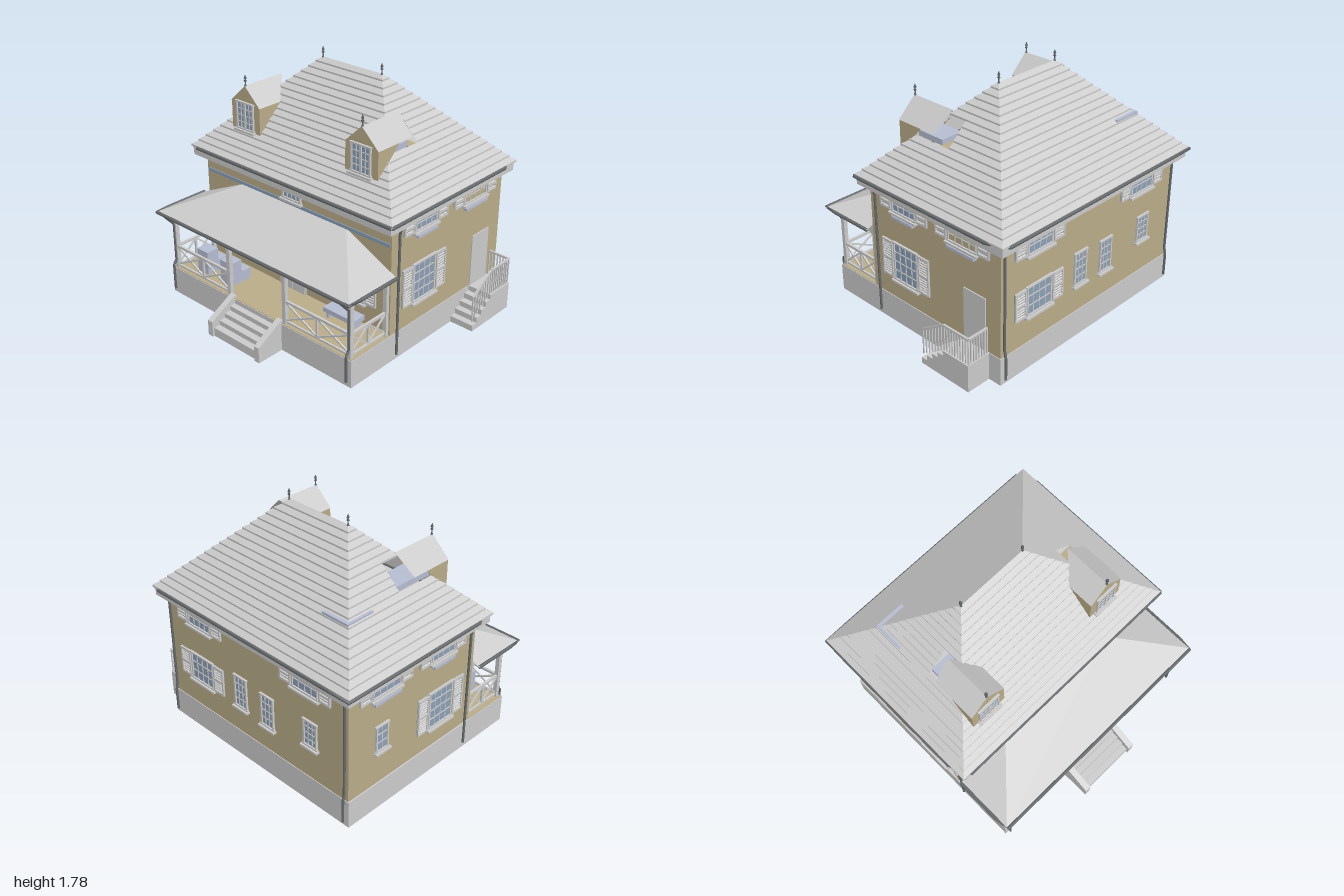
import * as THREE from 'three';

const mat = (color) => new THREE.MeshStandardMaterial({ color, side: THREE.DoubleSide });
const GREY = mat(0xcccccc), TAN = mat(0xb9ac88), GLASS = mat(0x8ba0b8), BLUE = mat(0xb6bdd2), DARK = mat(0x666a6c), SLAT = mat(0xa4a4a2);
const V = (x, y, z) => new THREE.Vector3(x, y, z);

function add(parent, name, geo, m = GREY) {
  const mesh = new THREE.Mesh(geo, m);
  mesh.name = name;
  parent.add(mesh);
  return mesh;
}
function box(p, name, x0, x1, y0, y1, z0, z1, m) {
  const b = add(p, name, new THREE.BoxGeometry(x1 - x0, y1 - y0, z1 - z0), m);
  b.position.set((x0 + x1) / 2, (y0 + y1) / 2, (z0 + z1) / 2);
  return b;
}
// Square bar between two points
function bar(p, name, a, b, t, m) {
  const s = add(p, name, new THREE.BoxGeometry(t, t, a.distanceTo(b)), m);
  s.position.copy(a).lerp(b, 0.5);
  s.lookAt(b);
  return s;
}
// Round pipe through points
function pipe(p, name, pts, r = 0.009) {
  const path = new THREE.CurvePath();
  for (let i = 1; i < pts.length; i++) path.add(new THREE.LineCurve3(pts[i - 1], pts[i]));
  return add(p, name, new THREE.TubeGeometry(path, (pts.length - 1) * 8, r, 8), DARK);
}
function quads(p, name, list, m) {
  const pos = [];
  for (const [a, b, c, d] of list) for (const v of [a, b, c, a, c, d]) pos.push(v.x, v.y, v.z);
  const g = new THREE.BufferGeometry();
  g.setAttribute('position', new THREE.Float32BufferAttribute(pos, 3));
  g.computeVertexNormals();
  return add(p, name, g, m);
}
function extrude(p, name, pts, depth, m) {
  const s = new THREE.Shape(pts.map(([x, y]) => new THREE.Vector2(x, y)));
  return add(p, name, new THREE.ExtrudeGeometry(s, { depth, bevelEnabled: false }), m);
}
// Framed window with glazing bars, sill and optional louvred shutters; local z points out of the wall
function windowUnit(w, h, cols, rows, shutter = 0, pane = GLASS) {
  const g = new THREE.Group();
  g.name = 'window';
  const X = w / 2, Y = h / 2, f = 0.012;
  box(g, 'pane', -X, X, -Y, Y, 0, 0.005, pane);
  for (const s of [-1, 1]) {
    box(g, 'frameSide', s * X - f / 2, s * X + f / 2, -Y, Y, 0, 0.014);
    box(g, 'frameRail', -X - f, X + f, s * Y - f / 2, s * Y + f / 2, 0, 0.016);
    if (!shutter) continue;
    const c = s * (X + shutter / 2 + 0.014), k = shutter / 2;
    box(g, 'shutter', c - k, c + k, -Y, Y, 0, 0.006, SLAT);
    for (const e of [-1, 1]) box(g, 'shutterStile', c + e * (k - 0.006) - 0.006, c + e * (k - 0.006) + 0.006, -Y, Y, 0, 0.016);
    for (const y of [-Y + 0.008, 0, Y - 0.008]) box(g, 'shutterRail', c - k, c + k, y - 0.008, y + 0.008, 0, 0.016);
    const n = Math.round(h / 0.019);
    for (let i = 1; i < n; i++) {
      const y = -Y + (i * h) / n;
      box(g, 'louvre', c - k + 0.01, c + k - 0.01, y - 0.002, y + 0.002, 0.002, 0.014).rotation.x = 0.6;
    }
  }
  for (let i = 1; i < cols; i++) box(g, 'glazingBar', -X + (i * w) / cols - 0.003, -X + (i * w) / cols + 0.003, -Y, Y, 0, 0.01);
  for (let i = 1; i < rows; i++) box(g, 'glazingBar', -X, X, -Y + (i * h) / rows - 0.003, -Y + (i * h) / rows + 0.003, 0, 0.01);
  box(g, 'sill', -X - 0.02, X + 0.02, -Y - 0.02, -Y - 0.005, 0, 0.03);
  return g;
}

export function createModel() {
  const root = new THREE.Group();
  root.name = 'house';
  const place = (g, x, y, z, ry = 0) => { g.position.set(x, y, z); g.rotation.y = ry; root.add(g); };
  const B = (...a) => box(root, ...a);

  // Plinth, walls and cornice
  B('plinth', -0.925, 0.815, 0, 0.203, -0.845, 0.72);
  B('porchFloor', -0.92, 0.81, 0.2, 0.207, 0.34, 0.715, TAN);
  B('walls', -0.915, 0.81, 0.2, 1.0, -0.84, 0.345, TAN);
  B('cornice', -0.97, 0.86, 0.985, 1.04, -0.9, 0.42);
  B('flashing', -0.9, 0.8, 0.855, 0.88, 0.34, 0.352, GLASS);

  // Main hip roof in overlapping courses, open behind the dormers
  const ring = (t, lift) => {
    const ex = 0.93 - 0.665 * t, ez = 0.67 * (1 - t), y = 1.05 + 0.65 * t + lift;
    return [[1, 1], [1, -1], [-1, -1], [-1, 1]].map(([a, b]) => V(-0.057 + a * ex, y, -0.243 + b * ez));
  };
  const N = 18, roof = [];
  for (let k = 0; k < N; k++) {
    const rings = [ring(k / N, -0.002), ring(k / N, 0.012), ring((k + 1) / N, 0)];
    const mid = 1.05 + (0.65 * (k + 0.5)) / N;
    for (let i = 0; i < 4; i++) for (let j = 0; j < 2; j++) {
      const j2 = (i + 1) % 4;
      const q = [rings[j][i], rings[j][j2], rings[j + 1][j2], rings[j + 1][i]].map((v) => v.clone());
      if (mid > 1.33 && mid < 1.5) {
        if (i === 0) q[0].z = q[3].z = -0.17;
        if (i === 2) q[1].z = q[2].z = -0.17;
      }
      roof.push(q);
    }
  }
  quads(root, 'mainRoof', roof);
  const rim = ring(0, -0.005);
  pipe(root, 'roofGutter', [...rim, rim[0]], 0.013);
  B('eaveBoard', -0.98, 0.865, 1.036, 1.046, -0.908, 0.422);

  // Finials
  const finial = (x, y, z) => {
    const pts = [[0.009, 0], [0.004, 0.015], [0.004, 0.03], [0.011, 0.037], [0.004, 0.045], [0.01, 0.055], [0, 0.082]];
    add(root, 'finial', new THREE.LatheGeometry(pts.map((q) => new THREE.Vector2(...q)), 10), DARK).position.set(x, y, z);
  };
  finial(-0.322, 1.695, -0.243);
  finial(0.208, 1.695, -0.243);

  // Dormers: s is the outer side
  for (const [c, s] of [[-0.587, -1], [0.473, 1]]) {
    const w = 0.137;
    extrude(root, 'dormerFront', [[c - w, 1.21], [c + w, 1.21], [c + w, 1.42], [c, 1.55], [c - w, 1.42]], 0.012, TAN).position.z = 0.243;
    for (const e of [-1, 1]) {
      const x = c + e * w, zb = e === s ? -0.07 : 0.055;
      quads(root, 'dormerCheek', [[V(x, 1.21, 0.25), V(x, 1.21, 0.25), V(x, 1.42, 0.05), V(x, 1.42, 0.25)]], TAN);
      quads(root, 'dormerRoof', [[V(c, 1.552, 0.256), V(x + e * 0.003, 1.418, 0.256), V(x + e * 0.003, 1.418, zb), V(c, 1.552, -0.1)]]);
    }
    const win = windowUnit(0.155, 0.195, 4, 4);
    box(win, 'centreStile', -0.008, 0.008, -0.097, 0.097, 0, 0.014);
    place(win, c, 1.332, 0.255);
    finial(c, 1.55, 0.248);
    B('atticBox', c - 0.06 - 0.025, c + 0.085, 1.33, 1.37, s < 0 ? -0.17 : -0.09, 0.13, BLUE);
  }
  B('atticFloor', 0.41, 0.58, 1.325, 1.335, -0.17, -0.09, TAN);
  B('atticBench', -0.72, -0.5, 1.29, 1.332, -0.65, -0.61, BLUE);
  B('atticBench', -0.72, -0.685, 1.29, 1.332, -0.65, -0.43, BLUE);

  // Porch roof
  const [pa, pb, pc, pd] = [V(-0.97, 0.66, 0.795), V(0.86, 0.66, 0.795), V(0.43, 0.86, 0.346), V(-0.54, 0.86, 0.346)];
  const [pe, pf] = [V(0.86, 0.66, 0.346), V(-0.97, 0.66, 0.346)];
  quads(root, 'porchRoof', [[pa, pb, pc, pd], [pb, pe, pc, pc], [pf, pa, pd, pd]]);
  pipe(root, 'porchGutter', [pf, pa, pb, pe], 0.012);

  // Porch posts, beams, railings and scalloped valance
  const L = -0.885, R = 0.785, F = 0.695, posts = [L, -0.325, 0.21, R];
  for (const x of posts) B('porchPost', x - 0.015, x + 0.015, 0.2, 0.67, F - 0.015, F + 0.015);
  for (const x of [L, R]) B('wallPost', x - 0.015, x + 0.015, 0.2, 0.67, 0.345, 0.37);
  const railing = (a, b, n) => {
    const at = (t, y) => a.clone().lerp(b, t).setY(y);
    bar(root, 'topRail', at(0, 0.38), at(1, 0.38), 0.018);
    bar(root, 'bottomRail', at(0, 0.225), at(1, 0.225), 0.014);
    for (let i = 0; i < n; i++) {
      bar(root, 'crossBrace', at(i / n, 0.23), at((i + 1) / n, 0.375), 0.011);
      bar(root, 'crossBrace', at(i / n, 0.375), at((i + 1) / n, 0.23), 0.011);
      if (i) bar(root, 'railPost', at(i / n, 0.22), at(i / n, 0.38), 0.014);
    }
  };
  const valance = (a, b) => {
    bar(root, 'porchBeam', a.clone().setY(0.65), b.clone().setY(0.65), 0.025);
    const len = a.distanceTo(b), n = Math.round(len / 0.055), pts = [[0, 0.65], [0, 0.575]];
    for (let i = 0; i < n; i++) for (let j = 1; j <= 6; j++) {
      const end = (i === 0 && j < 3) || (i === n - 1 && j > 3) ? 0.015 : 0;
      pts.push([((i + j / 6) * len) / n, 0.608 - 0.022 * Math.sin((Math.PI * j) / 6) - end]);
    }
    pts.push([len, 0.65]);
    const m = extrude(root, 'valance', pts, 0.008);
    m.position.set(a.x, 0, a.z);
    m.rotation.y = Math.atan2(a.z - b.z, b.x - a.x);
  };
  for (let i = 0; i < 3; i++) {
    const a = V(posts[i], 0, F), b = V(posts[i + 1], 0, F);
    valance(a, b);
    if (i !== 1) railing(a, b, 2);
  }
  for (const x of [L, R]) {
    railing(V(x, 0, F), V(x, 0, 0.36), 2);
    valance(V(x, 0, F), V(x, 0, 0.36));
  }

  // Porch furniture
  for (const x of [-0.69, -0.445]) {
    B('chairSeat', x - 0.055, x + 0.055, 0.207, 0.29, 0.45, 0.63, BLUE);
    B('chairBack', x - 0.055, x + 0.055, 0.207, 0.385, 0.53, 0.63, BLUE);
  }
  B('benchTop', 0.34, 0.61, 0.25, 0.285, 0.36, 0.47, BLUE);
  for (const x of [0.36, 0.57]) B('benchLeg', x, x + 0.02, 0.205, 0.25, 0.37, 0.46, BLUE);

  // Front steps with sloped cheek walls
  for (let i = 0; i < 4; i++) B('frontStep', -0.265, 0.155, 0, 0.17 - i * 0.035, 0.71, 0.765 + i * 0.05);
  for (const x of [-0.305, 0.15]) {
    const m = extrude(root, 'stepCheek', [[0, 0], [0.225, 0], [0.225, 0.115], [0.015, 0.23], [0, 0.23]], 0.045);
    m.rotation.y = -Math.PI / 2;
    m.position.set(x + 0.045, 0, 0.705);
  }

  // Side landing, steps and balustrade
  B('sideLanding', 0.81, 1.0, 0, 0.203, -0.745, -0.52);
  for (let i = 0; i < 4; i++) B('sideStep', 0.81, 1.0, 0, 0.165 - i * 0.04, -0.53, -0.47 + i * 0.05);
  const rails = [[V(0.825, 0.395, -0.738), V(0.988, 0.395, -0.738), 7, 0], [V(0.988, 0.395, -0.738), V(0.988, 0.395, -0.525), 9, 0], [V(0.988, 0.395, -0.525), V(0.988, 0.265, -0.328), 7, 0]];
  for (const [a, b, n] of rails) {
    bar(root, 'handRail', a, b, 0.014);
    for (let i = 0; i <= n; i++) {
      const q = a.clone().lerp(b, i / n);
      bar(root, 'baluster', q, q.clone().setY(q.y - 0.19), 0.008);
    }
  }

  // Doors
  B('doorFrame', -0.185, 0.07, 0.205, 0.61, 0.34, 0.352);
  for (const x of [-0.175, -0.055]) B('doorLeaf', x, x + 0.115, 0.207, 0.6, 0.35, 0.36);
  for (const x of [-0.075, -0.045]) B('doorHandle', x, x + 0.02, 0.39, 0.397, 0.36, 0.37, DARK);
  B('porchLamp', -0.07, -0.045, 0.6, 0.64, 0.68, 0.71, DARK);
  B('sideDoor', 0.805, 0.818, 0.203, 0.595, -0.715, -0.525);

  // Windows on all four walls
  const H = Math.PI / 2;
  place(windowUnit(0.215, 0.23, 4, 4, 0.09), -0.58, 0.485, 0.346);
  place(windowUnit(0.225, 0.23, 4, 4, 0.09), 0.48, 0.485, 0.346);
  place(windowUnit(0.16, 0.085, 4, 2), -0.057, 0.945, 0.346);
  for (const [x, ry] of [[0.811, H], [-0.916, -H]]) {
    place(windowUnit(0.215, 0.1, 4, 2, 0.1), x, 0.937, 0.012, ry);
    place(windowUnit(0.24, 0.1, 4, 2, 0.1, x > 0 ? TAN : GLASS), x, 0.937, -0.52, ry);
    const s = Math.sign(x);
    for (const [z, k] of [[0.012, 0.1], [-0.52, 0.12]]) B('flowerBox', Math.min(x, x + s * 0.03), Math.max(x, x + s * 0.03), 0.84, 0.86, z - k, z + k, BLUE);
  }
  place(windowUnit(0.22, 0.28, 4, 4, 0.1), 0.811, 0.505, 0.012, H);
  place(windowUnit(0.22, 0.28, 4, 4, 0.1), -0.916, 0.505, 0.012, -H);
  place(windowUnit(0.1, 0.19, 2, 3), -0.916, 0.56, -0.55, -H);
  place(windowUnit(0.22, 0.21, 4, 3, 0.1), 0.47, 0.52, -0.841, 2 * H);
  for (const x of [0.47, -0.55]) place(windowUnit(0.22, 0.12, 4, 2, 0.1), x, 0.92, -0.841, 2 * H);
  for (const [x, y, h] of [[0.07, 0.54, 0.24], [-0.19, 0.52, 0.24], [-0.59, 0.56, 0.19]]) place(windowUnit(0.11, h, 3, 4), x, y, -0.841, 2 * H);

  // Downspouts from the main and porch gutters
  for (const [x, s] of [[-0.925, -1], [0.82, 1]]) {
    pipe(root, 'downspout', [V(x + s * 0.045, 1.045, 0.285), V(x + s * 0.005, 0.97, 0.285), V(x + s * 0.005, 0.04, 0.285)]);
    const px = x - s * 0.035;
    pipe(root, 'porchDownspout', [V(px, 0.65, 0.79), V(px, 0.56, 0.71), V(px, 0.27, 0.71), V(px, 0.24, 0.735), V(px, 0.04, 0.735)]);
    pipe(root, 'rearDownspout', [V(px, 1.04, -0.905), V(px, 0.96, -0.85), V(px, 0.25, -0.85), V(px, 0.22, -0.862), V(px, 0.04, -0.862)]);
  }
  return root;
}
